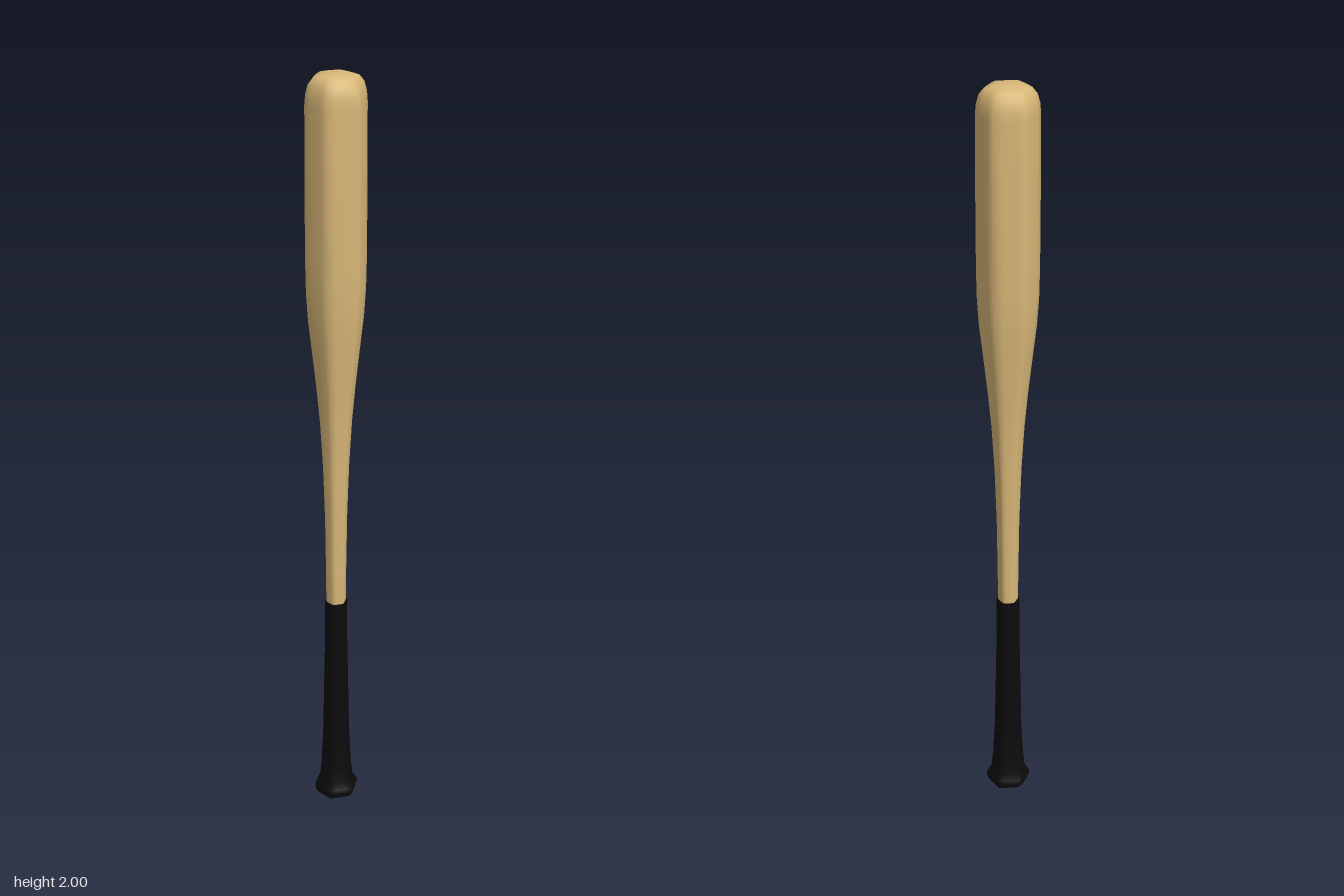
import * as THREE from 'three';
import { mergeVertices } from 'three/addons/utils/BufferGeometryUtils.js';

const SIDES = 6;
const STEPS = 4; // subdivisions per side

// Lathe a [radius, y] profile, then press it into a softly bulged hexagon
function hexLathe(profile) {
  const points = profile.map(([r, y]) => new THREE.Vector2(r, y));
  const start = Math.PI / 4;
  let geo = new THREE.LatheGeometry(points, SIDES * STEPS, start, Math.PI * 2);
  const pos = geo.attributes.position;
  const side = (Math.PI * 2) / SIDES;
  for (let i = 0; i < pos.count; i++) {
    const column = Math.floor(i / points.length) % STEPS;
    const fromMiddle = (column / STEPS - 0.5) * side;
    const flat = Math.cos(side / 2) / Math.cos(fromMiddle);
    const k = THREE.MathUtils.lerp(flat, 1, 0.22);
    pos.setX(i, pos.getX(i) * k);
    pos.setZ(i, pos.getZ(i) * k);
  }
  geo.deleteAttribute('uv');
  geo.deleteAttribute('normal');
  geo = mergeVertices(geo, 1e-5);
  geo.computeVertexNormals();
  return geo;
}

export function createModel() {
  const wood = new THREE.MeshStandardMaterial({ color: 0xd9b878 });
  wood.name = 'pale wood';
  const black = new THREE.MeshStandardMaterial({ color: 0x0c0c0c });
  black.name = 'black grip';

  const group = new THREE.Group();
  group.name = 'bat';
  const add = (name, profile, material) => {
    const mesh = new THREE.Mesh(hexLathe(profile), material);
    mesh.name = name;
    group.add(mesh);
  };

  // Tapered barrel with a rounded end
  add('barrel', [
    [0.026, 0.59], [0.027, 0.7], [0.029, 0.85], [0.034, 1.0], [0.041, 1.12],
    [0.05, 1.22], [0.061, 1.32], [0.07, 1.4], [0.0745, 1.47], [0.076, 1.55],
    [0.076, 1.75], [0.075, 1.93], [0.073, 1.955], [0.067, 1.977],
    [0.055, 1.992], [0.035, 1.998], [0, 2.0],
  ], wood);

  // Wrapped handle flaring into the knob
  add('grip', [
    [0.024, 0.607], [0.03, 0.607], [0.03, 0.5], [0.033, 0.35], [0.036, 0.2],
    [0.041, 0.1], [0.046, 0.05], [0.057, 0.035], [0.059, 0.024],
    [0.055, 0.01],
  ].reverse(), black);

  // Bare wooden end of the knob
  add('knobEnd', [[0, 0], [0.03, 0.001], [0.047, 0.005], [0.055, 0.01]], wood);

  return group;
}
